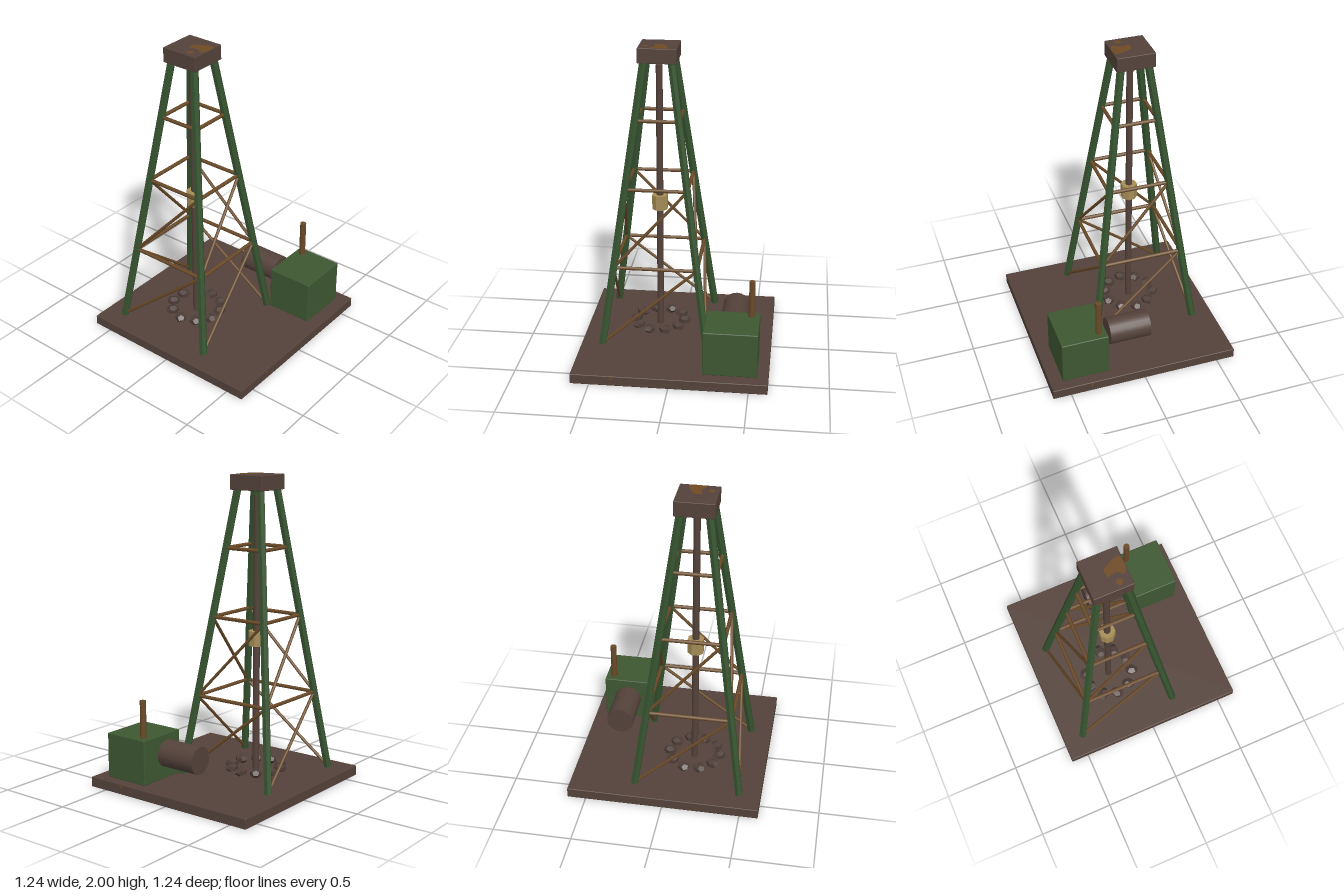
import * as THREE from 'three';
import { RoundedBoxGeometry } from 'three/addons/geometries/RoundedBoxGeometry.js';

const material = (name, color, extra = {}) => {
  const m = new THREE.MeshStandardMaterial({ color, ...extra });
  m.name = name;
  return m;
};

export function createModel() {
  const brown = material('dark brown steel', 0x54423a);
  const stone = material('dark stone', 0x4d3d37, { flatShading: true });
  const green = material('green paint', 0x3d5731);
  const legGreen = material('leg green', 0x36532f, { flatShading: true });
  const bronze = material('bronze brace', 0x6a4a28);
  const tan = material('tan block', 0xa48c55, { flatShading: true });
  const rust = material('rust', 0x6e4a24, { side: THREE.DoubleSide });

  const model = new THREE.Group();
  model.name = 'drillingDerrick';
  const tower = new THREE.Group();
  tower.name = 'tower';
  tower.position.set(-0.14, 0, -0.14);
  model.add(tower);

  const add = (parent, name, geometry, mat, x = 0, y = 0, z = 0) => {
    const mesh = new THREE.Mesh(geometry, mat);
    mesh.name = name;
    mesh.position.set(x, y, z);
    parent.add(mesh);
    return mesh;
  };

  // Round bar between two points
  const bar = (name, a, b, radius, sides, mat) => {
    const dir = b.clone().sub(a);
    const mesh = add(tower, name, new THREE.CylinderGeometry(radius, radius, dir.length(), sides), mat);
    mesh.position.copy(a).add(b).multiplyScalar(0.5);
    mesh.quaternion.setFromUnitVectors(new THREE.Vector3(0, 1, 0), dir.normalize());
    return mesh;
  };

  // Ground slab
  add(model, 'baseSlab', new RoundedBoxGeometry(1.24, 0.066, 1.24, 2, 0.005), brown, 0, 0.033, 0);

  // Corner point of the tapering tower, counted round from the front right
  const signs = [[-1, 1], [1, 1], [1, -1], [-1, -1]];
  const corner = (i, y) => {
    const r = 0.342 - (y - 0.066) * 0.1375;
    const [sx, sz] = signs[i % 4];
    return new THREE.Vector3(sx * r, y, sz * r);
  };

  // Legs, rings and one climbing diagonal per face and tier
  const levels = [0.075, 0.585, 1.1, 1.54];
  for (let i = 0; i < 4; i++) {
    bar('leg', corner(i, 0.066), corner(i, 1.92), 0.026, 6, legGreen);
    for (const y of levels.slice(1)) {
      bar('ringBrace', corner(i, y), corner(i + 1, y), 0.012, 8, bronze);
    }
    for (let t = 0; t < 2; t++) {
      bar('diagonalBrace', corner(i, levels[t]), corner(i + 1, levels[t + 1]), 0.01, 8, bronze);
    }
  }

  // Crown block, drill pipe and travelling block
  add(tower, 'crownBlock', new RoundedBoxGeometry(0.247, 0.096, 0.247, 2, 0.004), brown, 0, 1.952, 0);
  add(tower, 'drillPipe', new THREE.CylinderGeometry(0.022, 0.022, 1.805, 10), brown, 0, 0.9675, 0);
  add(tower, 'travellingBlock', new THREE.CylinderGeometry(0.053, 0.053, 0.097, 8), tan, 0, 0.953, 0)
    .rotation.y = Math.PI / 8;

  // Ring of rocks round the bore
  for (let i = 0; i < 10; i++) {
    const a = (i / 10) * Math.PI * 2;
    const rock = add(tower, 'rock', new THREE.DodecahedronGeometry(0.046), stone,
      Math.cos(a) * 0.165, 0.095, Math.sin(a) * 0.165);
    rock.scale.set(1, 0.62, 0.85);
    rock.rotation.y = -a + (i % 3) * 0.4;
  }

  // Engine housing with exhaust
  add(model, 'engineHousing', new RoundedBoxGeometry(0.344, 0.295, 0.31, 2, 0.006), green, 0.378, 0.2125, 0.38);
  add(model, 'exhaustPipe', new THREE.CylinderGeometry(0.02, 0.02, 0.25, 10), bronze, 0.496, 0.48, 0.277);

  // Fuel drum lying along z
  add(model, 'fuelDrum', new THREE.CylinderGeometry(0.089, 0.089, 0.274, 20), brown, 0.38, 0.252, 0.046)
    .rotation.x = Math.PI / 2;

  // Rust patches: flat outlines lying on the crown and slab edges
  const patch = (points) => {
    const curve = new THREE.SplineCurve(points.map(([x, y]) => new THREE.Vector2(x, y)));
    return new THREE.ShapeGeometry(new THREE.Shape(curve.getPoints(30)));
  };
  const large = patch([[-0.17, 0.14], [-0.12, 0.14], [-0.095, 0.1], [-0.075, 0.05],
    [-0.085, 0.025], [-0.15, 0.022], [-0.187, 0.045], [-0.16, 0.08], [-0.17, 0.14]]);
  add(model, 'crownRust', large, rust, 0, 2.001, 0).rotation.x = -Math.PI / 2;
  const spot = new THREE.CircleGeometry(0.02, 12);
  add(model, 'crownRustSpot', spot, rust, -0.22, 2.001, -0.088).rotation.x = -Math.PI / 2;
  const chip = new THREE.CircleGeometry(0.012, 10);
  add(model, 'slabRust', chip, rust, -0.36, 0.052, 0.621);
  add(model, 'slabRust', chip, rust, 0.621, 0.052, 0.36).rotation.y = Math.PI / 2;

  return model;
}
